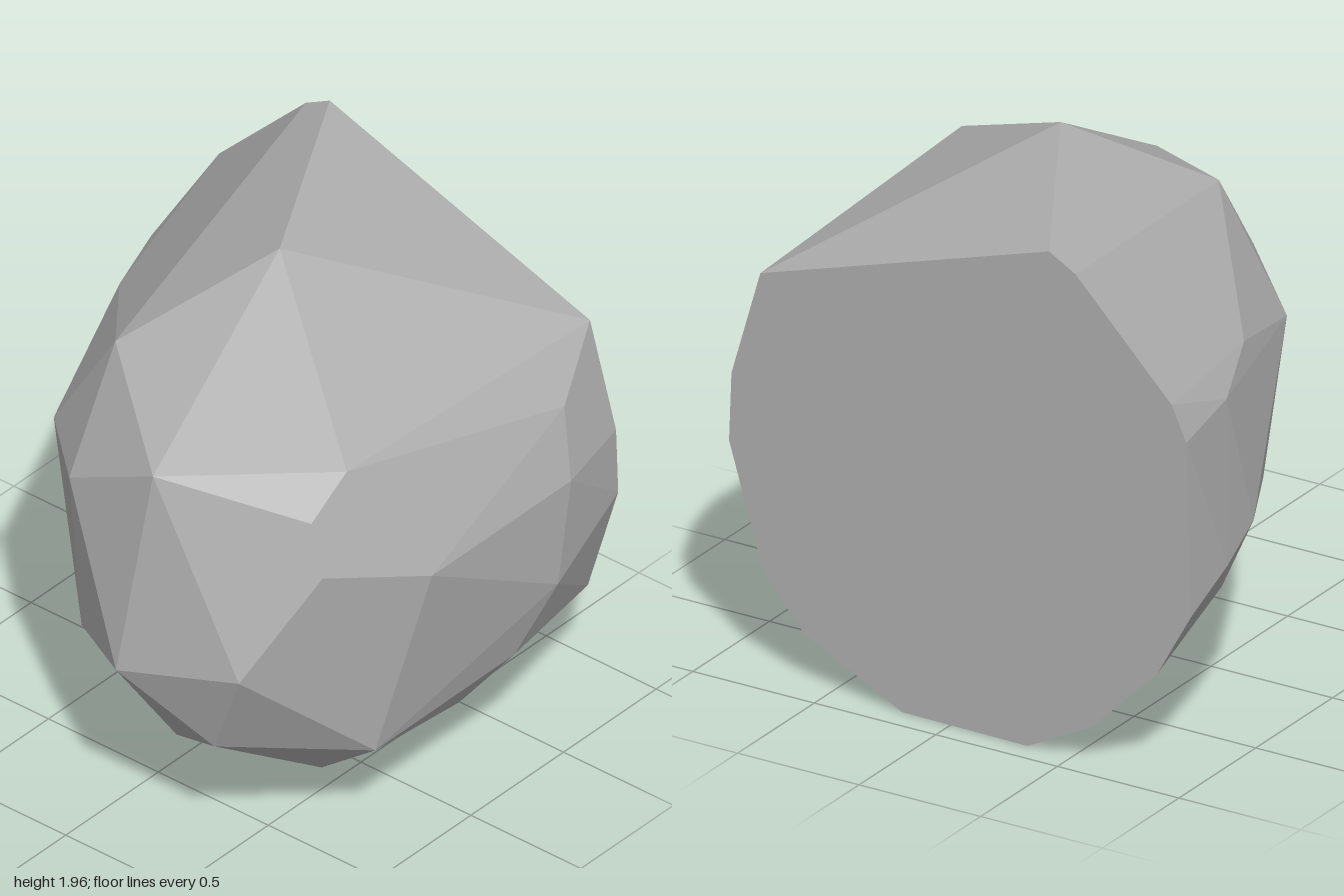
import * as THREE from 'three';
import { ConvexGeometry } from 'three/addons/geometries/ConvexGeometry.js';

export function createModel() {
  const group = new THREE.Group();
  group.name = 'boulder';
  const stone = new THREE.MeshStandardMaterial({ color: 0xb0b0b0, flatShading: true });
  stone.name = 'grey stone';

  // Outline of the flat split side, as [z, y]; the plane leans slightly in x
  const splitOutline = [
    [-0.41, 1.91], [-0.52, 1.85], [-0.92, 1.45], [-0.98, 1.32], [-1, 0.66],
    [-0.86, 0.41], [-0.59, 0.14], [-0.32, 0], [0.2, 0], [0.61, 0.2],
    [0.78, 0.4], [0.92, 0.86], [0.91, 1.12], [0.79, 1.53],
  ];
  const split = splitOutline.map(([z, y]) => new THREE.Vector3(0.905 - 0.016 * z, y, z));

  // Corners of the rough facets, as [x, y, z]
  const corners = [
    // crown and shoulders
    [0.06, 1.96, 0.08], [-0.42, 1.59, 0.79], [-0.79, 1.51, 0.22], [-0.4, 1.65, -0.28],
    // front
    [-0.6, 1.46, 0.78], [-0.61, 1.26, 0.84], [-0.21, 1.13, 1], [0.54, 1.13, 1],
    [0.6, 1.38, 0.92], [0.47, 0.73, 1], [0.33, 0.47, 0.92], [-0.35, 0.4, 0.86],
    // blunt end
    [-0.86, 0.87, 0.67], [-0.93, 0.74, 0.17], [-0.79, 0.49, 0.5], [-0.7, 0.65, -0.18],
    [-0.72, 1.27, -0.22],
    // back
    [-0.4, 1.2, -0.56], [0.18, 1.37, -0.75], [0.53, 1.32, -0.9], [0.37, 0.8, -0.91],
    [0.65, 0.75, -0.98], [0.31, 0.48, -0.74], [-0.23, 0.65, -0.57],
    // underside
    [0.26, 0.22, 0.73], [-0.2, 0.08, 0.49], [0.04, 0, 0.28], [-0.08, 0, 0.08],
    [-0.46, 0.16, 0.05],
  ].map((c) => new THREE.Vector3(...c));

  const rock = new THREE.Mesh(new ConvexGeometry([...corners, ...split]), stone);
  rock.name = 'rock';
  group.add(rock);
  return group;
}
